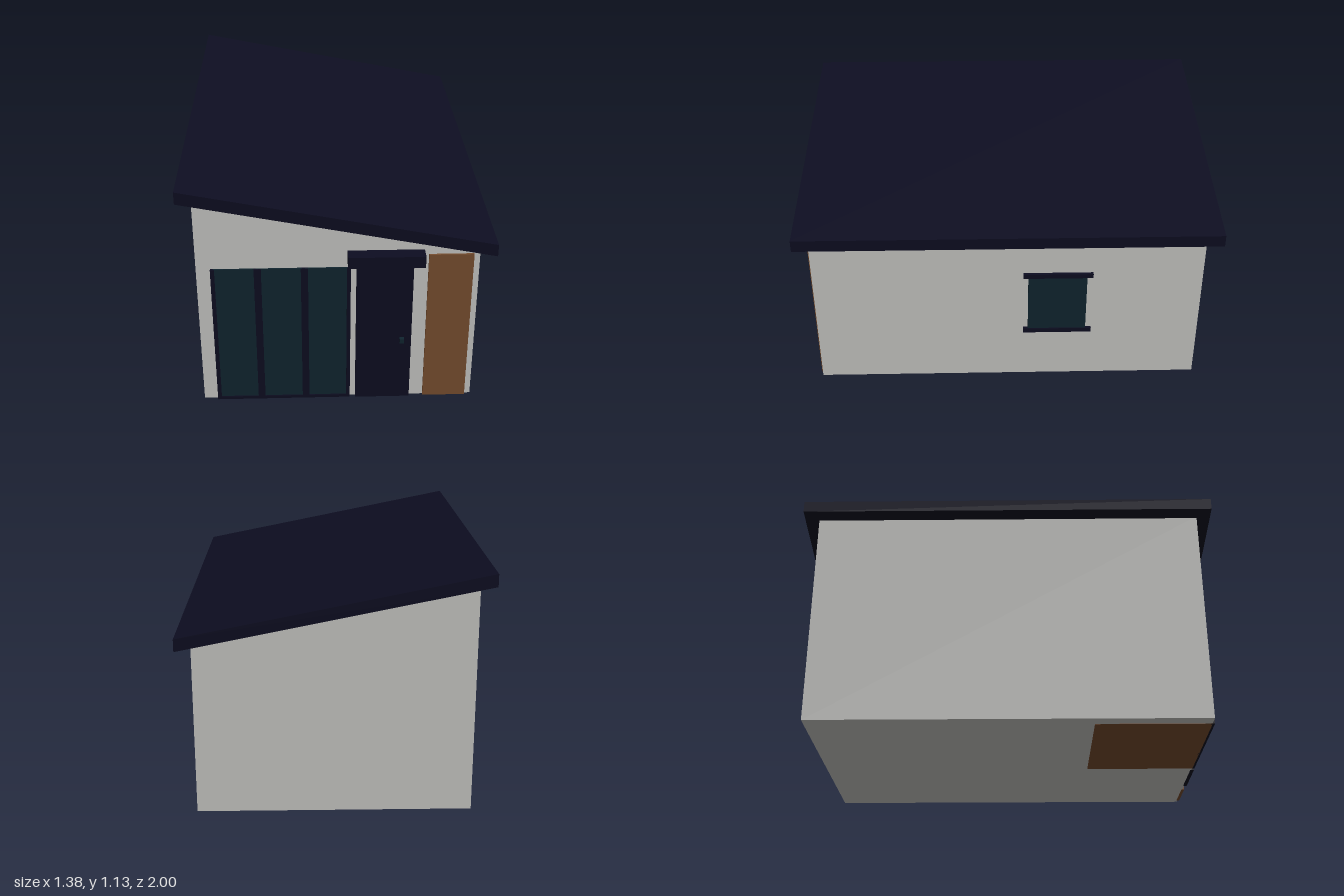
import * as THREE from 'three';

const material = (name, color) => {
  const m = new THREE.MeshStandardMaterial({ color });
  m.name = name;
  return m;
};

export function createModel() {
  const wall = material('pale wall', 0xc8c8c5);
  const navy = material('dark navy', 0x0d0d21);
  const glass = material('dark glass', 0x10252f);
  const wood = material('brown wood', 0x784e2f);
  const house = new THREE.Group();
  house.name = 'house';

  const add = (name, geometry, mat) => {
    const mesh = new THREE.Mesh(geometry, mat);
    mesh.name = name;
    house.add(mesh);
    return mesh;
  };

  // Box given by its minimum and maximum on each axis
  const box = (name, mat, [x0, x1], [y0, y1], [z0, z1]) => {
    const mesh = add(name, new THREE.BoxGeometry(x1 - x0, y1 - y0, z1 - z0), mat);
    mesh.position.set((x0 + x1) / 2, (y0 + y1) / 2, (z0 + z1) / 2);
  };

  // Front outline extruded from back to front
  const prism = (name, mat, points, z0, z1) => {
    const shape = new THREE.Shape(points.map(([x, y]) => new THREE.Vector2(x, y)));
    const geometry = new THREE.ExtrudeGeometry(shape, { depth: z1 - z0, bevelEnabled: false });
    add(name, geometry.translate(0, 0, z0), mat);
  };

  // Underside height of the sloping roof
  const eave = (x) => 0.938 - 0.2022 * x;
  const roofThickness = 0.057;

  // Wall block and single-pitch roof
  prism('walls', wall, [
    [-0.63, 0.002], [0.627, 0.002], [0.627, eave(0.627) + 0.01], [-0.63, eave(-0.63) + 0.01],
  ], -0.932, 0.935);
  prism('roof', navy, [
    [-0.692, eave(-0.692)], [0.692, eave(0.692)],
    [0.692, eave(0.692) + roofThickness], [-0.692, eave(-0.692) + roofThickness],
  ], -1, 1);

  // Wooden floor patch behind the big window
  box('woodFloor', wood, [-0.565, 0.055], [0, 0.006], [0.4, 0.936]);

  // Three-pane front window
  box('frontWindowGlass', glass, [-0.56, 0.05], [0.01, 0.717], [0.93, 0.941]);
  box('frontWindowSill', navy, [-0.567, 0.055], [0, 0.015], [0.93, 0.946]);
  [[-0.567, -0.549], [-0.375, -0.343], [-0.167, -0.135], [0.038, 0.055]].forEach((span, i) =>
    box(`frontWindowPost${i + 1}`, navy, span, [0, 0.717], [0.93, 0.946]));

  // Door, handle and canopy
  box('door', navy, [0.08, 0.335], [0, 0.735], [0.93, 0.948]);
  box('doorHandle', glass, [0.281, 0.301], [0.32, 0.342], [0.94, 0.968]);
  box('doorCanopy', navy, [0.04, 0.38], [0.745, 0.801], [0.93, 0.999]);

  // Wooden cladding strip beside the door
  box('woodPanel', wood, [0.4, 0.6], [0, 0.777], [0.93, 0.944]);

  // Right-hand side window
  box('sideWindowGlass', glass, [0.62, 0.638], [0.28, 0.605], [-0.377, -0.095]);
  [[0.27, 0.293], [0.593, 0.616]].forEach((span, i) =>
    box(i ? 'sideWindowLintel' : 'sideWindowSill', navy, [0.62, 0.643], span, [-0.405, -0.072]));

  return house;
}
